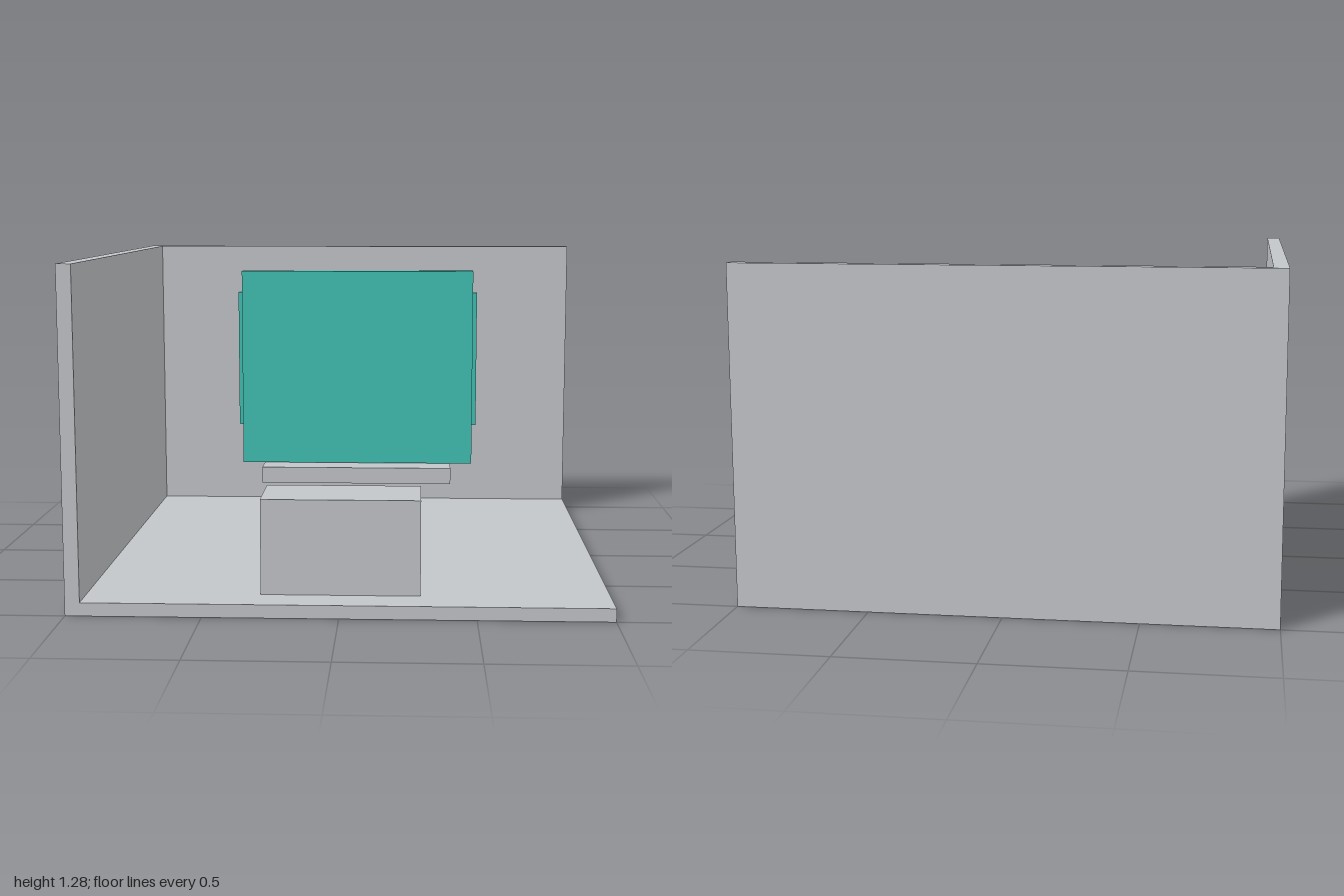
import * as THREE from 'three';

export function createModel() {
  const model = new THREE.Group();
  model.name = 'roomCorner';

  const grey = new THREE.MeshStandardMaterial({ color: 0xc3c6c9 });
  grey.name = 'light grey';
  const teal = new THREE.MeshStandardMaterial({ color: 0x41c1b3 });
  teal.name = 'teal';

  // Box given by its limits on each axis
  function box(name, material, [x0, x1], [y0, y1], [z0, z1], parent = model) {
    const mesh = new THREE.Mesh(new THREE.BoxGeometry(x1 - x0, y1 - y0, z1 - z0), material);
    mesh.position.set((x0 + x1) / 2, (y0 + y1) / 2, (z0 + z1) / 2);
    mesh.name = name;
    parent.add(mesh);
    return mesh;
  }

  const wall = 0.055, floorTop = 0.05, height = 1.28;

  // Room shell: floor and two walls meeting at the back corner
  box('floor', grey, [-1, 1], [0, floorTop], [-1, 1]);
  box('backWall', grey, [-1, 1], [floorTop, height], [-1, -1 + wall]);
  box('sideWall', grey, [-1, -1 + wall], [floorTop, height], [-1 + wall, 1]);

  // Furniture
  box('shelf', grey, [-0.447, 0.447], [0.165, 0.24], [-0.895, -0.72]);
  box('seatBlock', grey, [-0.297, 0.297], [floorTop, 0.41], [0.58, 0.86]);

  // Wall screen with a shallow back plate and a strip on each side
  const screen = new THREE.Group();
  screen.name = 'screen';
  model.add(screen);
  box('screenPanel', teal, [-0.55, 0.55], [0.243, 1.165], [-0.926, -0.838], screen);
  box('screenBackPlate', teal, [-0.55, 0.55], [0.455, 1.03], [-0.932, -0.926], screen);
  for (const side of [-1, 1]) {
    const x = [side * 0.55, side * 0.57].sort((a, b) => a - b);
    box(side > 0 ? 'leftStrip' : 'rightStrip', teal, x, [0.425, 1.063], [-0.909, -0.871], screen);
  }

  return model;
}
